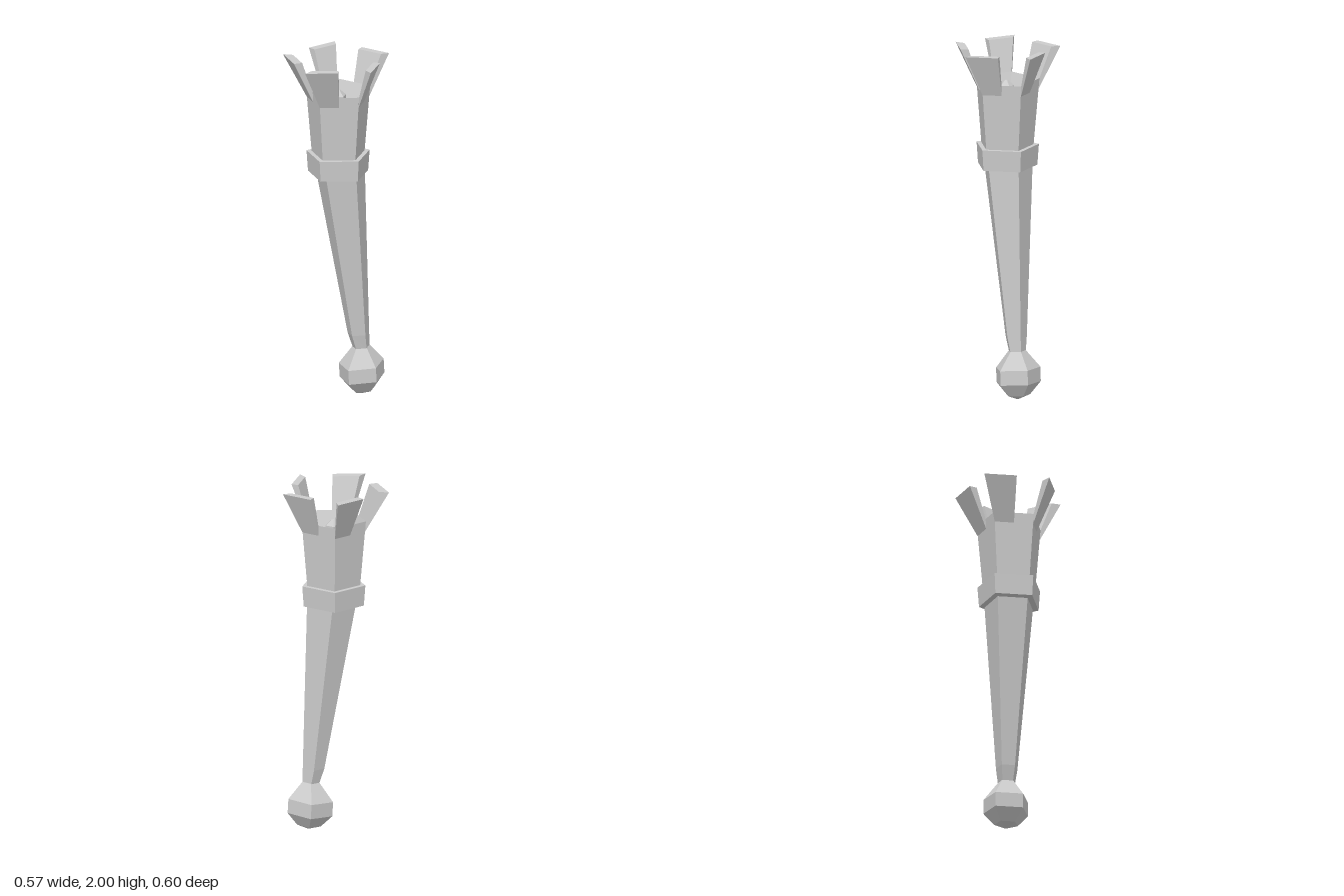
import * as THREE from 'three';

const SIDES = 5;
const STEP = (Math.PI * 2) / SIDES;
const HEAD_X = -0.02;

const material = new THREE.MeshStandardMaterial({ color: 0xcccccc, flatShading: true });

function makeMesh(name, positions, indices) {
  const indexed = new THREE.BufferGeometry();
  indexed.setAttribute('position', new THREE.Float32BufferAttribute(positions, 3));
  indexed.setIndex(indices);
  const geometry = indexed.toNonIndexed();
  geometry.computeVertexNormals();
  const mesh = new THREE.Mesh(geometry, material);
  mesh.name = name;
  return mesh;
}

// Skins pentagonal rings [height, radius, centre x, tilt], corner facing +x.
// Rings run bottom to top on the outside, then down again for an inside.
function loft(name, rings) {
  const positions = [];
  const indices = [];
  rings.forEach(([y, r, x = HEAD_X, tilt = 0]) => {
    for (let i = 0; i < SIDES; i++) {
      const c = r * Math.cos(i * STEP);
      positions.push(x + c * Math.cos(tilt), y + c * Math.sin(tilt), r * Math.sin(i * STEP));
    }
  });
  for (let k = 0; k < rings.length - 1; k++) {
    for (let i = 0; i < SIDES; i++) {
      const a = k * SIDES + i;
      const b = k * SIDES + ((i + 1) % SIDES);
      const c = b + SIDES;
      const d = a + SIDES;
      if (rings[k + 1][1] > 0) indices.push(a, d, c);
      if (rings[k][1] > 0) indices.push(a, c, b);
    }
  }
  return makeMesh(name, positions, indices);
}

// A flaring prong that covers half a side, from its corner to its middle
function makeProng(corner) {
  // radius, height, centre x: outer base, outer top, inner top, inner base
  const profile = [
    [0.186, 1.76, HEAD_X], [0.314, 2, -0.031], [0.26, 2, -0.026], [0.19, 1.82, HEAD_X],
  ];
  const positions = [];
  for (const middle of [false, true]) {
    const angle = corner - (middle ? STEP / 2 : 0);
    const scale = middle ? Math.cos(STEP / 2) : 1;
    for (const [r, y, x] of profile) {
      positions.push(x + r * scale * Math.cos(angle), y, r * scale * Math.sin(angle));
    }
  }
  const indices = [0, 1, 2, 0, 2, 3, 4, 6, 5, 4, 7, 6];
  for (let i = 0; i < 4; i++) {
    const j = (i + 1) % 4;
    indices.push(i, j + 4, j, i, i + 4, j + 4);
  }
  return makeMesh('prong', positions, indices);
}

export function createModel() {
  const torch = new THREE.Group();
  torch.name = 'torch';

  // Leaning handle with a faceted, slightly tilted pommel
  torch.add(loft('pommel', [
    [0, 0, 0.13, 0.1],
    [0.025, 0.07, 0.128, 0.1],
    [0.095, 0.133, 0.123, 0.1],
    [0.178, 0.133, 0.118, 0.1],
    [0.28, 0.05, 0.117, 0.05],
    [0.28, 0, 0.117, 0.05],
  ]));
  torch.add(loft('handle', [
    [0.27, 0.05, 0.117, 0.05],
    [0.36, 0.064, 0.1, 0.03],
    [1.34, 0.146, -0.008],
  ]));

  // Collar between handle and head
  torch.add(loft('collar', [
    [1.32, 0.1], [1.32, 0.178], [1.44, 0.187], [1.44, 0.13],
  ]));

  // Hollow head: outer wall, rim, then the bowl with its rounded floor
  torch.add(loft('head', [
    [1.43, 0.156], [1.82, 0.19], [1.61, 0.085], [1.59, 0.07], [1.58, 0.05], [1.578, 0],
  ]));

  // Wick standing in the bowl
  torch.add(loft('wick', [
    [1.57, 0.04], [1.74, 0.047], [1.785, 0.046], [1.815, 0.012], [1.818, 0],
  ]));

  // Crown of prongs
  const crown = new THREE.Group();
  crown.name = 'crown';
  for (let i = 0; i < SIDES; i++) crown.add(makeProng(i * STEP));
  torch.add(crown);

  return torch;
}
